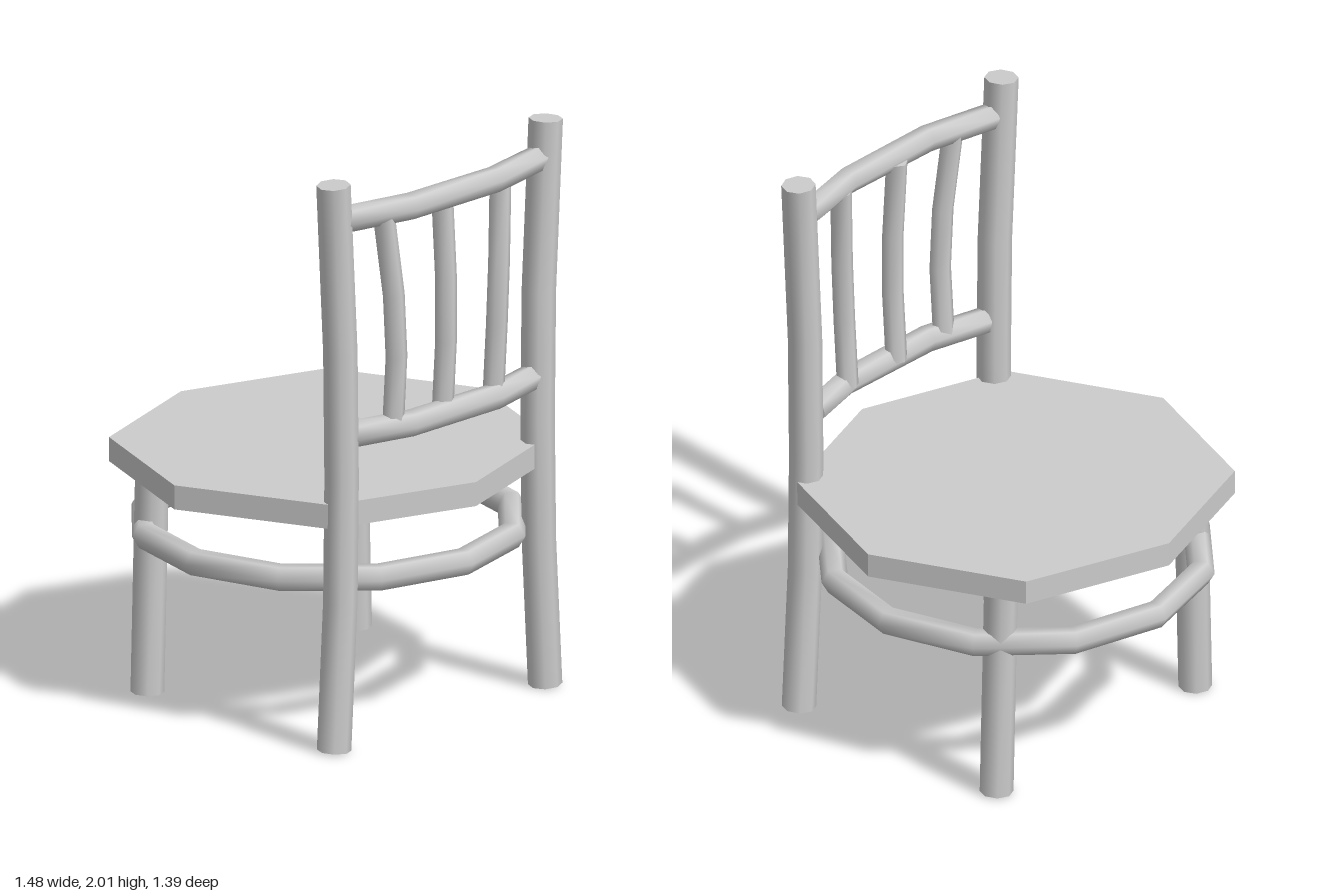
import * as THREE from 'three';
import { toCreasedNormals } from 'three/addons/utils/BufferGeometryUtils.js';

const material = new THREE.MeshStandardMaterial({ color: 0xcccccc });

function part(name, geometry) {
  const mesh = new THREE.Mesh(geometry, material);
  mesh.name = name;
  return mesh;
}

// Capped round rod whose cross-sections follow the given points
function rod(name, points, radius, sides) {
  const n = points.length - 1;
  const path = points.map(p => new THREE.Vector3(...p));
  const curve = new THREE.CatmullRomCurve3(path);
  const turns = path.map((_, i) => new THREE.Quaternion().setFromUnitVectors(
    new THREE.Vector3(0, 1, 0), curve.getTangent(i / n)));
  const geometry = new THREE.CylinderGeometry(radius, radius, 1, sides, n);
  const pos = geometry.attributes.position;
  const v = new THREE.Vector3();
  for (let k = 0; k < pos.count; k++) {
    v.fromBufferAttribute(pos, k);
    const i = Math.round((v.y + 0.5) * n);
    v.setY(0).applyQuaternion(turns[i]).add(path[i]);
    pos.setXYZ(k, v.x, v.y, v.z);
  }
  return part(name, toCreasedNormals(geometry, 1.2));
}

export function createModel() {
  const chair = new THREE.Group();
  chair.name = 'chair';

  // Eight-sided seat, slightly shorter front to back
  const outline = [];
  for (let i = 0; i < 8; i++) {
    const a = i * Math.PI / 4;
    const r = i % 4 === 2 ? 0.697 : 0.738;
    outline.push(new THREE.Vector2(r * Math.cos(a), r * Math.sin(a)));
  }
  const seat = new THREE.ExtrudeGeometry(new THREE.Shape(outline), { depth: 0.085, bevelEnabled: false });
  seat.rotateX(-Math.PI / 2).translate(0, 0.785, 0);
  chair.add(part('seat', seat));

  // Ring that braces the legs
  const ring = new THREE.TorusGeometry(0.638, 0.047, 6, 12);
  ring.rotateX(Math.PI / 2).translate(0, 0.575, 0);
  chair.add(part('legRing', ring));

  // Bowed posts and short legs, mirrored
  for (const s of [-1, 1]) {
    const side = s > 0 ? 'left' : 'right';
    const post = [[0.505, 0], [0.475, 0.52], [0.469, 0.95], [0.475, 1.4], [0.508, 2]];
    chair.add(rod(side + 'BackPost', post.map(([x, y]) => [s * x, y, 0.525]), 0.058, 8));
    chair.add(rod(side + 'ShortLeg', [[s * 0.497, 0, -0.365], [s * 0.474, 0.8, -0.365]], 0.057, 8));
  }

  // Curved cross rails
  for (const [name, y, half] of [['topRail', 1.868, 0.465], ['lowerRail', 1.1, 0.428]]) {
    const rail = [[-half, 0.528], [-0.2, 0.585], [0.2, 0.585], [half, 0.528]];
    chair.add(rod(name, rail.map(([x, z]) => [x, y, z]), 0.046, 6));
  }

  // Spindles, the outer two leaning outwards at the top
  for (const [x, lean] of [[-0.262, -0.043], [-0.025, 0], [0.218, 0.036]]) {
    chair.add(rod('spindle', [
      [x, 1.1, 0.564],
      [x, 1.35, 0.58],
      [x + lean * 0.3, 1.57, 0.58],
      [x + lean, 1.86, 0.562],
    ], 0.038, 6));
  }
  return chair;
}
